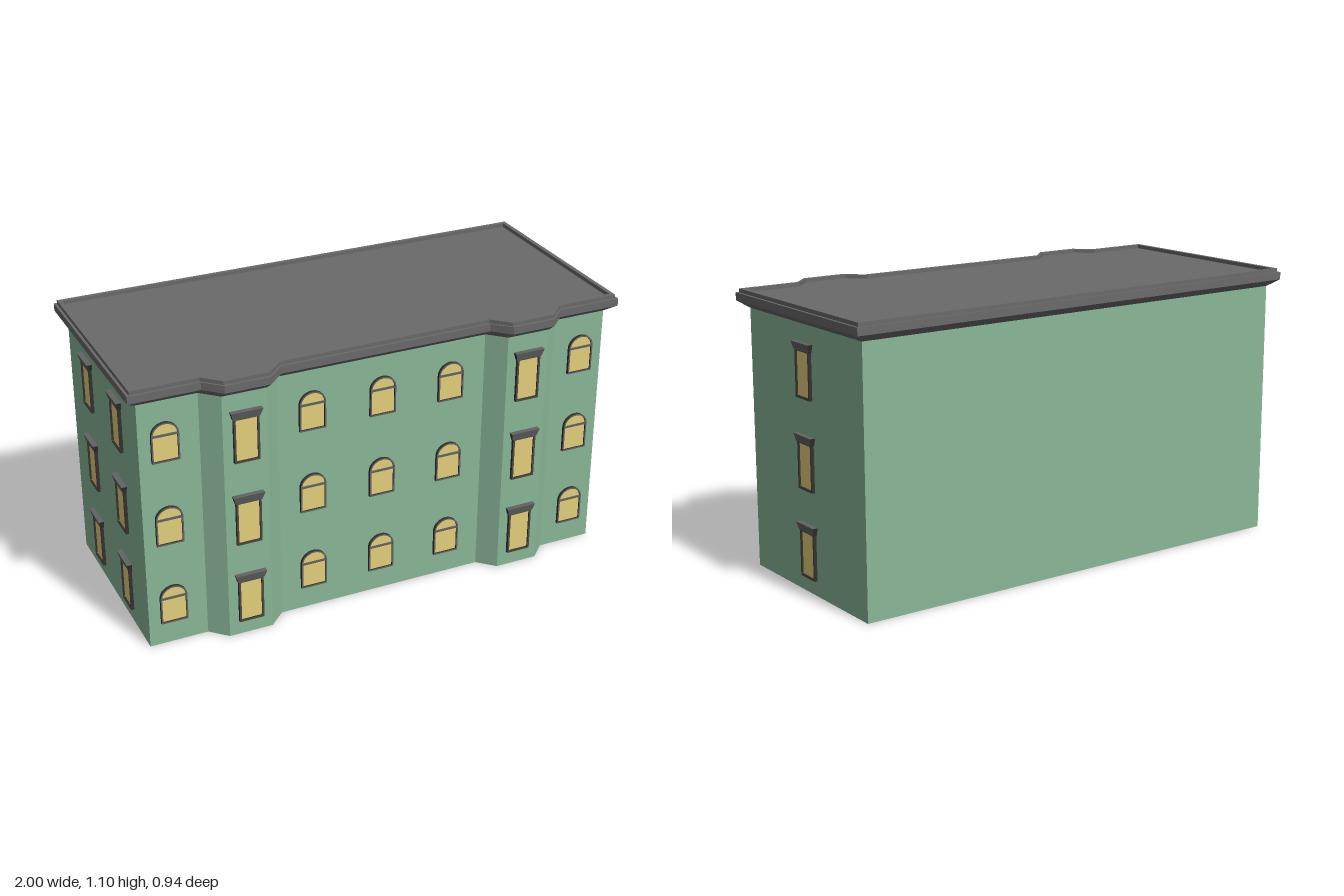
import * as THREE from 'three';

const mat = (name, color, side = THREE.FrontSide) => {
  const m = new THREE.MeshStandardMaterial({ color, side });
  m.name = name;
  return m;
};

// Front wall runs left to right with two canted bays, then round the back
const BAYS = [-0.575, 0.587];
const OUTLINE = [[-0.96, 0.37]];
for (const c of BAYS) {
  OUTLINE.push([c - 0.153, 0.37], [c - 0.088, 0.433], [c + 0.088, 0.433], [c + 0.153, 0.37]);
}
OUTLINE.push([0.96, 0.37], [0.96, -0.433], [-0.96, -0.433]);

// Outline pushed outward: bay corners move forward only, end corners move both ways
const offsetOutline = (d) => OUTLINE.map(([x, z]) => [
  Math.abs(x) === 0.96 ? x + Math.sign(x) * d : x,
  z + Math.sign(z) * d * 0.93,
]);

// Flat-faced band following the outline through [offset, height] steps
function loft(profile) {
  const rings = profile.map(([d, y]) => offsetOutline(d).map(([x, z]) => [x, y, z]));
  const pos = [];
  for (let r = 0; r < rings.length - 1; r++) {
    const n = OUTLINE.length;
    for (let i = 0; i < n; i++) {
      const j = (i + 1) % n;
      const a = rings[r][i], b = rings[r][j], c = rings[r + 1][j], d = rings[r + 1][i];
      pos.push(...a, ...b, ...c, ...a, ...c, ...d);
    }
  }
  const g = new THREE.BufferGeometry();
  g.setAttribute('position', new THREE.Float32BufferAttribute(pos, 3));
  g.computeVertexNormals();
  return g;
}

// Round-headed opening
function archPath(Type, w, y0, spring, rise) {
  const p = new Type();
  p.moveTo(-w, y0);
  p.lineTo(w, y0);
  p.lineTo(w, spring);
  p.absellipse(0, spring, w, rise, 0, Math.PI, false, 0);
  p.lineTo(-w, y0);
  return p;
}

// Opening with slightly rounded corners
function roundedPath(Type, w, y0, y1, r) {
  const p = new Type();
  p.moveTo(-w + r, y0);
  p.lineTo(w - r, y0);
  p.quadraticCurveTo(w, y0, w, y0 + r);
  p.lineTo(w, y1 - r);
  p.quadraticCurveTo(w, y1, w - r, y1);
  p.lineTo(-w + r, y1);
  p.quadraticCurveTo(-w, y1, -w, y1 - r);
  p.lineTo(-w, y0 + r);
  p.quadraticCurveTo(-w, y0, -w + r, y0);
  return p;
}

function frameGeometry(outer, hole) {
  outer.holes.push(hole);
  return new THREE.ExtrudeGeometry(outer, { depth: 0.012, bevelEnabled: false, curveSegments: 10 });
}

// Lintel flaring outward toward its top
function lintelGeometry() {
  const g = new THREE.BoxGeometry(1, 0.031, 1).toNonIndexed();
  const p = g.attributes.position;
  for (let i = 0; i < p.count; i++) {
    const top = p.getY(i) > 0;
    p.setX(i, Math.sign(p.getX(i)) * (top ? 0.062 : 0.053));
    p.setZ(i, p.getZ(i) > 0 ? (top ? 0.021 : 0.013) : 0);
  }
  g.translate(0, 0.1935, 0);
  g.computeVertexNormals();
  return g;
}

export function createModel() {
  const wall = mat('green wall', 0x89b697, THREE.DoubleSide);
  const roof = mat('grey roof', 0x6a6a6a, THREE.DoubleSide);
  const reveal = mat('dark window sides', 0x353030);
  const frame = mat('dark frame', 0x4c493f);
  const trim = mat('window trim grey', 0x626262);
  const glass = mat('yellow glass', 0xe4d07c);

  const model = new THREE.Group();
  model.name = 'building';
  const add = (parent, name, geo, material) => {
    const m = new THREE.Mesh(geo, material);
    m.name = name;
    parent.add(m);
  };

  // Walls, open underneath
  add(model, 'walls', loft([[0, 0], [0, 1.022]]), wall);

  // Cornice with raised rim, and the roof deck inside it
  add(model, 'cornice', loft([
    [0, 1.022], [0.04, 1.05], [0.04, 1.08], [0.03, 1.08],
    [0.03, 1.095], [0.013, 1.095], [0.013, 1.08],
  ]), roof);
  const deck = new THREE.Shape(offsetOutline(0.013).map(([x, z]) => new THREE.Vector2(x, -z)));
  add(model, 'roofDeck', new THREE.ShapeGeometry(deck).rotateX(-Math.PI / 2).translate(0, 1.08, 0), roof);

  // Shared window parts
  const archFrame = frameGeometry(
    archPath(THREE.Shape, 0.053, 0, 0.108, 0.05), archPath(THREE.Path, 0.047, 0.006, 0.108, 0.044));
  const archGlass = new THREE.ShapeGeometry(archPath(THREE.Shape, 0.049, 0.004, 0.108, 0.046), 10).translate(0, 0, 0.006);
  const archBar = new THREE.BoxGeometry(0.096, 0.008, 0.006).translate(0, 0.107, 0.008);
  const rectFrame = frameGeometry(
    roundedPath(THREE.Shape, 0.05, 0, 0.18, 0.0005), roundedPath(THREE.Path, 0.042, 0.008, 0.175, 0.006));
  const rectGlass = new THREE.ShapeGeometry(roundedPath(THREE.Shape, 0.044, 0.006, 0.177, 0.004), 6).translate(0, 0, 0.006);
  const lintelGeo = lintelGeometry();

  function archWindow(x, y, z) {
    const g = new THREE.Group();
    g.name = 'archedWindow';
    add(g, 'archFrame', archFrame, [trim, reveal]);
    add(g, 'archGlass', archGlass, glass);
    add(g, 'archBar', archBar, trim);
    g.position.set(x, y, z);
    model.add(g);
  }

  function rectWindow(x, y, z, turn) {
    const g = new THREE.Group();
    g.name = 'lintelWindow';
    add(g, 'windowFrame', rectFrame, [frame, reveal]);
    add(g, 'windowGlass', rectGlass, glass);
    add(g, 'windowLintel', lintelGeo, [reveal, reveal, trim, reveal, trim, reveal]);
    g.position.set(x, y, z);
    g.rotation.y = turn;
    model.add(g);
  }

  // Three floors of windows, set just proud of the walls
  for (const y of [0, 0.34, 0.686]) {
    for (const x of [-0.861, -0.288, 0, 0.287, 0.861]) archWindow(x, y + 0.094, 0.371);
    for (const x of BAYS) rectWindow(x, y + 0.06, 0.434, 0);
    rectWindow(0.961, y + 0.06, -0.033, Math.PI / 2);
    for (const z of [-0.2, 0.145]) rectWindow(-0.961, y + 0.06, z, -Math.PI / 2);
  }
  return model;
}
